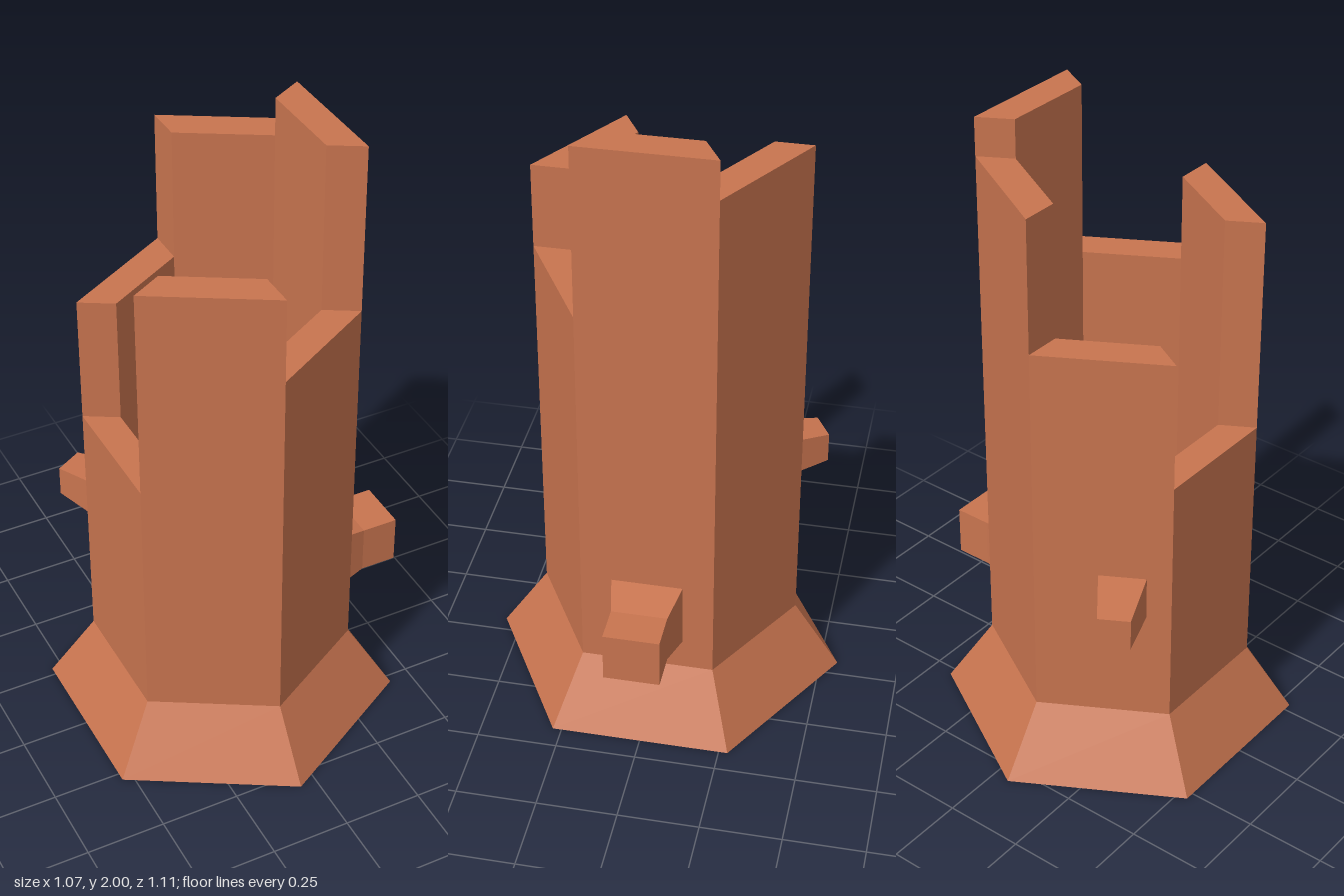
import * as THREE from 'three';

const CENTRE_X = -0.054;
const BASE_TOP = 0.22;
const OUTER = 0.41, INNER = 0.295, FOOT = 0.555;
// wall heights, from the +x wall round through the front
const HEIGHTS = [2, 1.46, 1.73, 1.05, 1.46, 1.88];

const material = new THREE.MeshStandardMaterial({ color: 0xc8744f, flatShading: true });

// corner i of a hexagon ring
function corner(i, radius, y) {
  const a = (i * 60 - 30) * Math.PI / 180;
  return [radius * Math.cos(a), y, radius * Math.sin(a)];
}

// mesh from four-cornered faces, corners counter-clockwise
function quadMesh(name, quads) {
  const points = [];
  for (const [a, b, c, d] of quads) points.push(...a, ...b, ...c, ...a, ...c, ...d);
  const geometry = new THREE.BufferGeometry();
  geometry.setAttribute('position', new THREE.Float32BufferAttribute(points, 3));
  geometry.computeVertexNormals();
  const mesh = new THREE.Mesh(geometry, material);
  mesh.name = name;
  return mesh;
}

// flat hexagon facing up or down
function hexPlate(name, radius, y, up) {
  const geometry = new THREE.CircleGeometry(radius, 6, Math.PI / 6);
  geometry.rotateX(up ? -Math.PI / 2 : Math.PI / 2);
  const mesh = new THREE.Mesh(geometry, material);
  mesh.position.y = y;
  mesh.name = name;
  return mesh;
}

// square stub along +x, lofted through [distance, half height, half width]
function stub(name, sections) {
  const rings = sections.map(([x, h, w]) => [[x, -h, w], [x, -h, -w], [x, h, -w], [x, h, w]]);
  const quads = [rings[rings.length - 1]];
  for (let s = 0; s < rings.length - 1; s++) {
    for (let k = 0; k < 4; k++) {
      const n = (k + 1) % 4;
      quads.push([rings[s][k], rings[s][n], rings[s + 1][n], rings[s + 1][k]]);
    }
  }
  return quadMesh(name, quads);
}

export function createModel() {
  const model = new THREE.Group();
  model.name = 'brokenHollowTrunk';
  const trunk = new THREE.Group();
  trunk.name = 'trunk';
  trunk.position.x = CENTRE_X;
  model.add(trunk);

  // flared foot
  const foot = [];
  for (let i = 0; i < 6; i++) {
    foot.push([corner(i + 1, FOOT, 0), corner(i, FOOT, 0),
      corner(i, OUTER, BASE_TOP), corner(i + 1, OUTER, BASE_TOP)]);
  }
  trunk.add(quadMesh('flaredFoot', foot));
  trunk.add(hexPlate('underside', FOOT, 0, false));
  trunk.add(hexPlate('hollowFloor', INNER, BASE_TOP, true));

  // six walls broken off at different heights
  HEIGHTS.forEach((h, i) => {
    const j = i + 1, next = HEIGHTS[j % 6];
    trunk.add(quadMesh('wall' + j, [
      [corner(j, OUTER, BASE_TOP), corner(i, OUTER, BASE_TOP), corner(i, OUTER, h), corner(j, OUTER, h)],
      [corner(i, INNER, BASE_TOP), corner(j, INNER, BASE_TOP), corner(j, INNER, h), corner(i, INNER, h)],
      [corner(j, OUTER, h), corner(i, OUTER, h), corner(i, INNER, h), corner(j, INNER, h)],
      // step to the neighbouring wall
      [corner(j, INNER, next), corner(j, OUTER, next), corner(j, OUTER, h), corner(j, INNER, h)],
    ]));
  });

  // branch stubs
  const wallFace = OUTER * Math.cos(Math.PI / 6);
  const large = stub('largeBranchStub', [
    [wallFace, 0.105, 0.11], [wallFace + 0.115, 0.08, 0.086], [wallFace + 0.232, 0.08, 0.086],
  ]);
  large.position.y = 0.424;
  const small = stub('smallBranchStub', [[wallFace, 0.07, 0.072], [wallFace + 0.18, 0.05, 0.049]]);
  small.position.y = 0.655;
  small.rotation.y = Math.PI * 2 / 3;
  // slide the small stub along its wall to its place
  const along = new THREE.Vector3(-0.2825 - CENTRE_X + wallFace * 0.5, 0, -0.279 + wallFace * 0.866);
  small.position.add(along);
  trunk.add(large, small);

  return model;
}
